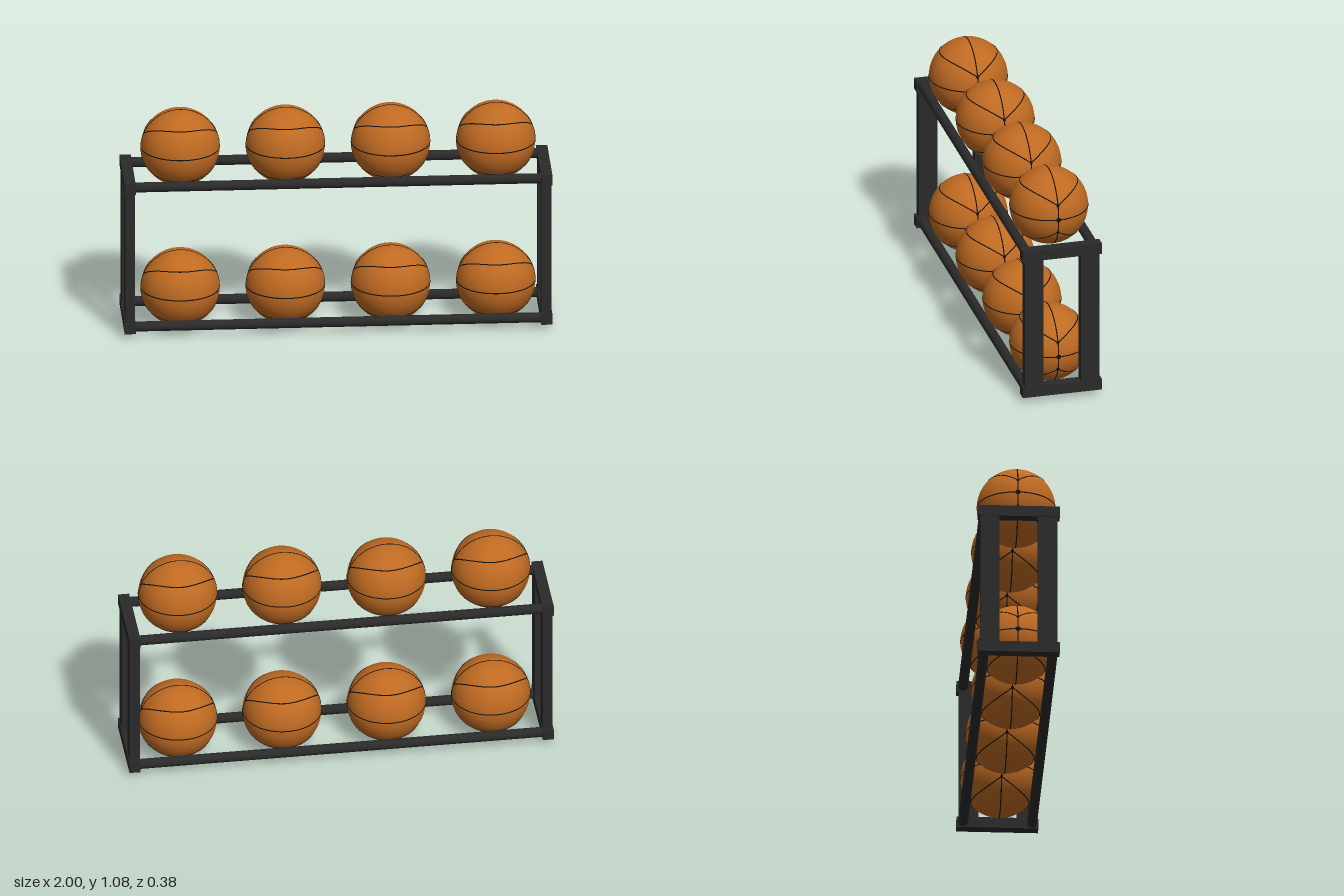
import * as THREE from 'three';

const R = 0.184; // ball radius
const orange = new THREE.MeshStandardMaterial({ color: 0xbf6a22 });
const black = new THREE.MeshStandardMaterial({ color: 0x111111 });
const dark = new THREE.MeshStandardMaterial({ color: 0x2a2a2a });

function add(parent, name, geometry, material, x = 0, y = 0, z = 0) {
  const mesh = new THREE.Mesh(geometry, material);
  mesh.name = name;
  mesh.position.set(x, y, z);
  parent.add(mesh);
  return mesh;
}

// Curved side seam: an eye-shaped half running from one x pole to the other
function sideSeam(sy, sz) {
  const points = [];
  for (let i = 0; i <= 32; i++) {
    const a = (i / 32 - 0.5) * Math.PI;
    const u = Math.cos(a);
    const z = 0.135 * u;
    const y = 0.068 + 0.057 * (1 - Math.pow(Math.max(0, 1 - u), 1.6));
    const x = Math.sign(a) * Math.sqrt(Math.max(0, R * R - y * y - z * z));
    points.push(new THREE.Vector3(x, y * sy, z * sz).setLength(R - 0.0012));
  }
  return new THREE.TubeGeometry(new THREE.CatmullRomCurve3(points), 64, 0.003, 6);
}

// One ball with its seams
function createBall() {
  const ball = new THREE.Group();
  ball.name = 'ball';
  add(ball, 'ballSkin', new THREE.SphereGeometry(R, 56, 36), orange);
  const ring = new THREE.TorusGeometry(R - 0.0012, 0.003, 6, 72);
  add(ball, 'lengthSeam', ring, black);
  add(ball, 'equatorSeam', ring, black).rotation.x = Math.PI / 2;
  for (const sy of [-1, 1]) {
    for (const sz of [-1, 1]) add(ball, 'sideSeam', sideSeam(sy, sz), black);
  }
  // Thickened seam crossings at both ends
  const knot = new THREE.SphereGeometry(1, 12, 8);
  for (const sx of [-1, 1]) {
    add(ball, 'seamCrossing', knot, black, sx * R).scale.set(0.002, 0.012, 0.012);
    for (const sy of [-1, 1]) {
      const m = add(ball, 'seamJunction', knot, black, sx * 0.171, sy * 0.068);
      m.scale.set(0.002, 0.009, 0.007);
      m.rotation.z = sx * sy * Math.atan2(0.068, 0.171);
    }
  }
  return ball;
}

export function createModel() {
  const model = new THREE.Group();
  model.name = 'ballRack';

  const post = new THREE.BoxGeometry(0.046, 0.7, 0.09);
  const crossbar = new THREE.BoxGeometry(0.052, 0.053, 0.382);
  const rail = new THREE.CylinderGeometry(0.0235, 0.0235, 1.94, 20);
  rail.rotateZ(Math.PI / 2);
  const ball = createBall();

  // End frames: two flat posts between two crossbars
  for (const sx of [-1, 1]) {
    for (const sz of [-1, 1]) add(model, 'post', post, dark, sx * 0.973, 0.404, sz * 0.135);
    for (const y of [0.055, 0.753]) add(model, 'crossbar', crossbar, dark, sx * 0.974, y, 0);
  }

  // Two tiers of round rails, each carrying four balls
  for (const tier of [0, 1]) {
    const y = 0.055 + tier * 0.698;
    for (const sz of [-1, 1]) add(model, 'rail', rail, dark, 0, y, sz * 0.161);
    for (let i = 0; i < 4; i++) {
      const copy = ball.clone();
      copy.position.set(-0.729 + i * 0.492, 0.187 + tier * 0.704, 0);
      model.add(copy);
    }
  }
  return model;
}
